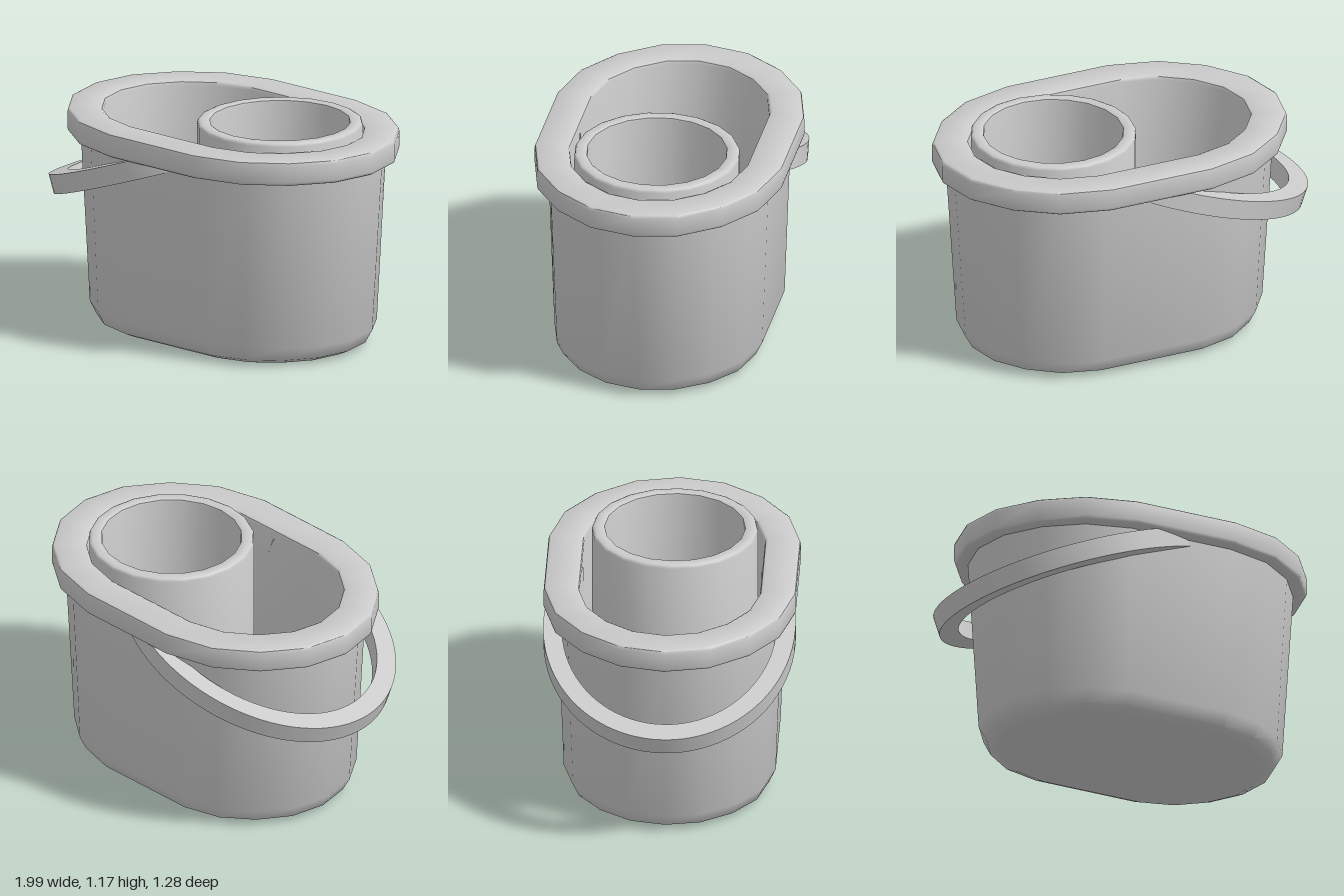
import * as THREE from 'three';
import { toCreasedNormals } from 'three/addons/utils/BufferGeometryUtils.js';

const STRAIGHT = 0.28; // half length of the straight sides
const CENTER_X = 0.065; // the handle sticks out at -x, so the tub sits off centre
const FLOOR = 0.1;

// Quarter of the rounded tub end, on a unit circle
const QUARTER = [[1, 0], [0.927, 0.355], [0.71, 0.665], [0.4, 0.894], [0, 1]];

// Unit outline, counter-clockwise seen from above: [end side, x, z]
function outline() {
  const half = [
    ...QUARTER.map(([x, z]) => [1, x, z]),
    ...[...QUARTER].reverse().map(([x, z]) => [-1, -x, z]),
  ];
  const back = half.slice(1, -1).map(([s, x, z]) => [-s, -x, -z]);
  return [...half, ...back];
}

// Lofts rings of [half length, half width, height] along the tub outline
function loftTub(profile) {
  const unit = outline();
  const n = unit.length;
  const positions = [];
  const index = [];
  for (const [hx, hz, y] of profile) {
    for (const [side, x, z] of unit) {
      positions.push(side * STRAIGHT + x * (hx - STRAIGHT), y, -z * hz);
    }
  }
  for (let j = 0; j < profile.length - 1; j++) {
    for (let i = 0; i < n; i++) {
      const a = j * n + i;
      const b = j * n + ((i + 1) % n);
      index.push(a, b, b + n, a, b + n, a + n);
    }
  }
  const geo = new THREE.BufferGeometry();
  geo.setAttribute('position', new THREE.Float32BufferAttribute(positions, 3));
  geo.setIndex(index);
  return toCreasedNormals(geo, 0.72);
}

export function createModel() {
  const group = new THREE.Group();
  const material = new THREE.MeshStandardMaterial({ color: 0xcccccc });
  const add = (name, geometry) => {
    const mesh = new THREE.Mesh(geometry, material);
    mesh.name = name;
    group.add(mesh);
    return mesh;
  };

  // Tub: underside, tapered wall, thick rim, inner wall and floor in one skin
  const tub = add('tub', loftTub([
    [STRAIGHT, 0, 0],
    [0.70, 0.44, 0],
    [0.765, 0.505, 0.03],
    [0.805, 0.538, 0.1],
    [0.865, 0.57, 0.995],
    [0.918, 0.625, 0.995],
    [0.93, 0.636, 1.002],
    [0.935, 0.64, 1.015],
    [0.935, 0.64, 1.1],
    [0.93, 0.636, 1.115],
    [0.918, 0.625, 1.122],
    [0.765, 0.475, 1.122],
    [0.752, 0.463, 1.115],
    [0.747, 0.458, 1.1],
    [0.69, 0.42, FLOOR],
    [STRAIGHT, 0, FLOOR],
  ]));
  tub.position.x = CENTER_X;

  // Round wringer cup standing on the tub floor
  const cupProfile = [
    [0.422, FLOOR - 0.02], [0.422, 1.148], [0.417, 1.16], [0.405, 1.166],
    [0.365, 1.166], [0.358, 1.162], [0.355, 1.15], [0.355, FLOOR + 0.02], [0, FLOOR + 0.02],
  ].map(([r, y]) => new THREE.Vector2(r, y));
  const cup = add('wringerCup', toCreasedNormals(new THREE.LatheGeometry(cupProfile, 20, Math.PI / 2), 0.72));
  cup.position.x = 0.378;

  // Bail handle: an elliptical band, tilted down, its ends buried in the tub wall
  const start = THREE.MathUtils.degToRad(56);
  const end = Math.PI * 2 - start;
  const band = new THREE.Shape();
  band.absellipse(0, 0, 0.78, 0.64, start, end, false, 0);
  band.absellipse(0, 0, 0.675, 0.545, end, start, true, 0);
  band.closePath();
  const bandGeo = new THREE.ExtrudeGeometry(band, { depth: 0.102, bevelEnabled: false, curveSegments: 28 });
  bandGeo.rotateX(-Math.PI / 2);
  const handle = add('handle', toCreasedNormals(bandGeo, 0.6));
  handle.position.set(-0.22, 0.844, 0);
  handle.rotation.z = THREE.MathUtils.degToRad(19.8);

  return group;
}
